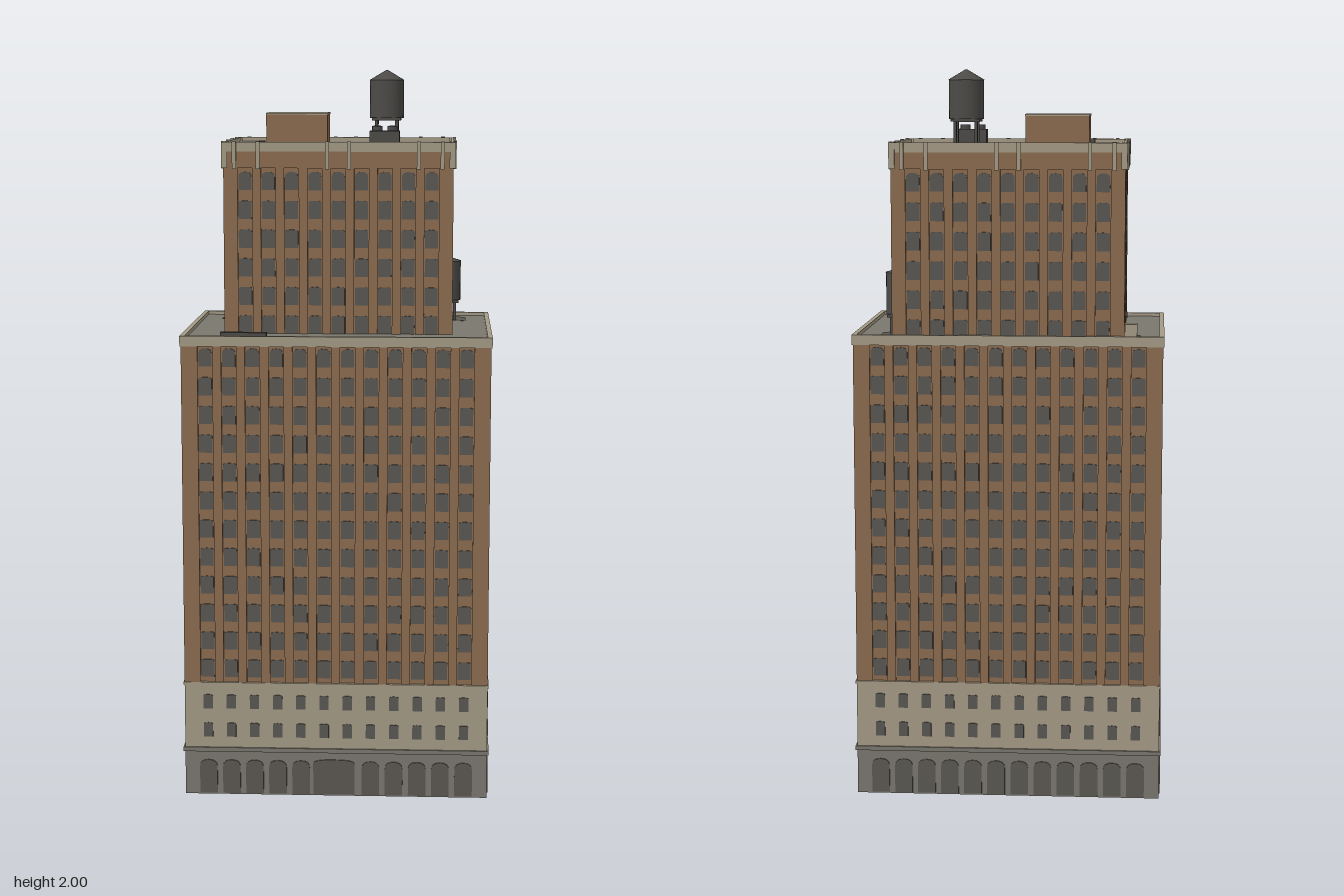
import * as THREE from 'three';
import { mergeGeometries } from 'three/addons/utils/BufferGeometryUtils.js';

const mat = (name, color, side = THREE.FrontSide) => {
  const m = new THREE.MeshStandardMaterial({ color, side });
  m.name = name;
  return m;
};

export function createModel() {
  const model = new THREE.Group();
  model.name = 'officeTower';
  const brick = mat('brick', 0x8c6c50, THREE.DoubleSide);
  const cream = mat('creamStone', 0xa59b86, THREE.DoubleSide);
  const stone = mat('greyStone', 0x7a776d, THREE.DoubleSide);
  const roofing = mat('roofing', 0x7a776f, THREE.DoubleSide);
  const glass = mat('windowGlass', 0x5a5752);
  const metal = mat('darkMetal', 0x4c4b48);
  const stain = mat('roofStain', 0x5b5852);

  const add = (name, geo, material, parent = model) => {
    const mesh = new THREE.Mesh(geo, material);
    mesh.name = name;
    parent.add(mesh);
    return mesh;
  };
  const box = (w, h, d, x, y, z) =>
    new THREE.BoxGeometry(w, h, d).translate(x, y, z).toNonIndexed();
  const cyl = (rt, rb, h, x, y, z, n = 20) =>
    new THREE.CylinderGeometry(rt, rb, h, n).translate(x, y, z).toNonIndexed();

  // Thin arch-headed plate standing on y0
  const arch = (u, y0, w, h, rise, depth) => {
    const s = new THREE.Shape();
    s.moveTo(-w / 2, 0);
    s.lineTo(w / 2, 0);
    s.lineTo(w / 2, h - rise);
    s.quadraticCurveTo(w / 2, h, 0, h);
    s.quadraticCurveTo(-w / 2, h, -w / 2, h - rise);
    return new THREE.ExtrudeGeometry(s, { depth, bevelEnabled: false, curveSegments: 4 })
      .translate(u, y0, -depth / 2);
  };

  // The four facades of a block; build(half width, columns, index) returns
  // geometries in facade space: x along the wall, z outward from it.
  const facades = (b, inset, build) => {
    const out = [];
    for (let i = 0; i < 4; i++) {
      const side = i % 2 === 1;
      const half = side ? b.d : b.w;
      const dist = (side ? b.w : b.d) - inset;
      for (const g of build(half, side ? b.colsSide : b.colsFront, i)) {
        out.push(g.translate(0, 0, dist).rotateY(i * Math.PI / 2).translate(0, 0, b.z));
      }
    }
    return mergeGeometries(out);
  };
  const columns = (half, n, pitch) =>
    Array.from({ length: n }, (_, i) => (i - (n - 1) / 2) * pitch);

  // Open-ended wall band between two heights
  const wall = (name, b, y0, y1, inset, material) =>
    add(name, facades(b, inset, half => [
      new THREE.PlaneGeometry(2 * (half - inset), y1 - y0)
        .translate(0, (y0 + y1) / 2, 0).toNonIndexed(),
    ]), material);

  // Four-sided rim, reaching t inward and `over` outward of the block
  const rim = (name, b, y0, y1, t, over, material) =>
    add(name, facades(b, 0, half => [
      box(2 * (half + over), y1 - y0, t + over, 0, (y0 + y1) / 2, (over - t) / 2),
    ]), material);

  // Full-height brick ribs between window columns, wider at the corners
  const piers = (name, b, y0, y1, inset, width) =>
    add(name, facades(b, inset, (half, n) => {
      const cs = columns(half, n, b.pitch);
      const list = cs.slice(1).map(u =>
        box(width, y1 - y0, inset, u - b.pitch / 2, (y0 + y1) / 2, inset / 2));
      const start = cs[n - 1] + b.pitch / 2 - width / 2;
      for (const s of [-1, 1]) {
        list.push(box(half - start, y1 - y0, inset, s * (half + start) / 2, (y0 + y1) / 2, inset / 2));
      }
      return list;
    }), brick);

  const windows = (name, b, rows, w, h, inset, archTop) =>
    add(name, facades(b, inset, (half, n) =>
      columns(half, n, b.pitch).flatMap(u => rows.map((y, r) =>
        archTop && r === 0
          ? arch(u, y - h / 2, w, h, 0.014, 0.006)
          : arch(u, y - h / 2, w, h, 0.004, 0.006)))), glass);

  const main = { w: 0.42, d: 0.314, z: 0, colsFront: 12, colsSide: 9, pitch: 0.0645 };
  const upper = { w: 0.315, d: 0.232, z: -0.065, colsFront: 9, colsSide: 6, pitch: 0.064 };
  const rows = (top, n) => Array.from({ length: n }, (_, i) => top - i * 0.079);

  // Ground floor with arched openings and a wide entrance
  wall('groundFloorWalls', main, 0, 0.13, 0, stone);
  add('groundFloorArches', facades(main, 0, (half, n, i) => {
    const list = columns(half, n, main.pitch)
      .filter(u => i !== 0 || Math.abs(u) > 0.05)
      .map(u => arch(u, 0.004, 0.049, 0.096, 0.02, 0.007));
    if (i === 0) list.push(arch(-0.005, 0.004, 0.115, 0.1, 0.01, 0.007));
    return list;
  }), stain);
  rim('lowerBelt', main, 0.124, 0.136, 0.003, 0.005, stone);

  // Cream stone storeys
  wall('stoneStoreyWalls', main, 0.13, 0.32, 0, cream);
  windows('stoneStoreyWindows', main, [0.268, 0.187], 0.026, 0.04, 0, false);
  rim('upperBelt', main, 0.315, 0.323, 0.008, 0.003, cream);

  // Brick shaft
  wall('shaftWalls', main, 0.32, 1.265, 0.007, brick);
  piers('shaftPiers', main, 0.32, 1.265, 0.007, 0.024);
  windows('shaftWindows', main, rows(1.231, 12), 0.036, 0.05, 0.007, true);
  rim('shaftParapet', main, 1.262, 1.29, 0.01, 0.003, cream);
  add('shaftRoof', box(0.826, 0.008, 0.614, 0, 1.276, 0), roofing);

  // Set-back upper block
  wall('upperWalls', upper, 1.28, 1.78, 0.006, brick);
  piers('upperPiers', upper, 1.28, 1.74, 0.006, 0.024);
  rim('upperFrieze', upper, 1.735, 1.782, 0.006, 0.001, brick);
  windows('upperWindows', upper, rows(1.7, 6), 0.036, 0.05, 0.006, true);
  rim('upperParapet', upper, 1.78, 1.806, 0.006, 0.002, cream);
  add('upperRoof', box(0.62, 0.008, 0.455, 0, 1.79, upper.z), roofing);
  add('crownTabs', facades(upper, 0, (half, n, i) => {
    const us = i % 2 ? [-0.195, -0.065, 0.065, 0.195] : [-0.285, -0.22, -0.03, 0.03, 0.22, 0.285];
    return us.map(u => box(0.011, 0.075, 0.009, u, 1.77, 0.0035));
  }), cream);
  add('crownCorners', mergeGeometries([-1, 1].flatMap(x => [-1, 1].map(z =>
    box(0.016, 0.07, 0.016, x * 0.312, 1.771, upper.z + z * 0.229)))), cream);

  // Weathered patches, with clipped corners, around the roof equipment
  const patch = (x0, x1, z0, z1, y) => {
    const c = 0.018, w = x1 - x0, d = z1 - z0;
    const s = new THREE.Shape([
      [c, 0], [w - c, 0], [w, c], [w, d - c], [w - c, d], [c, d], [0, d - c], [0, c],
    ].map(p => new THREE.Vector2(...p)));
    return new THREE.ExtrudeGeometry(s, { depth: 0.002, bevelEnabled: false })
      .rotateX(-Math.PI / 2).translate(x0, y, z1);
  };
  add('roofPatches', mergeGeometries([
    patch(-0.234, -0.022, -0.215, -0.038, 1.793),
    patch(0.055, 0.197, -0.198, -0.058, 1.793),
    patch(0.062, 0.188, 0.032, 0.144, 1.793),
    patch(0.28, 0.355, -0.268, -0.157, 1.279),
    patch(-0.358, -0.3, -0.24, -0.18, 1.279),
  ]), stain);

  // Penthouse
  add('penthouseWalls', box(0.174, 0.085, 0.134, -0.128, 1.834, -0.128), brick);
  add('penthouseRoof', box(0.176, 0.005, 0.136, -0.128, 1.878, -0.128), cream);

  // Water tanks on four legs
  const tank = (name, x, z, base, bottom, top, r, peak) => {
    const g = new THREE.Group();
    g.name = name;
    model.add(g);
    add('tankBody', cyl(r, r, top - bottom, x, (top + bottom) / 2, z), metal, g);
    add('tankRoof', cyl(0.003, r + 0.002, peak - top, x, (peak + top) / 2, z), metal, g);
    const legs = [];
    for (const sx of [-1, 1]) for (const sz of [-1, 1]) {
      legs.push(box(0.009, bottom - base, 0.009, x + sx * r * 0.6, (bottom + base) / 2, z + sz * r * 0.6));
    }
    legs.push(box(r * 1.7, 0.008, r * 1.7, x, bottom - 0.003, z));
    add('tankLegs', mergeGeometries(legs), metal, g);
  };
  tank('roofTank', 0.125, -0.127, 1.79, 1.866, 1.972, 0.048, 2.0);
  tank('setbackTank', 0.297, -0.213, 1.278, 1.338, 1.452, 0.043, 1.464);

  // Cooling unit with two fans
  add('coolingUnit', box(0.082, 0.042, 0.06, 0.125, 1.814, 0.082), metal);
  add('coolingFans', mergeGeometries([0.104, 0.146].map(x =>
    cyl(0.014, 0.014, 0.014, x, 1.841, 0.082, 16))), metal);

  // Small hatches and vents
  add('roofHatch', box(0.019, 0.016, 0.019, -0.212, 1.8, 0.124), metal);
  add('longVent', box(0.126, 0.018, 0.022, -0.253, 1.287, 0.272), metal);
  add('ventBox', box(0.034, 0.036, 0.042, -0.332, 1.296, -0.213), cream);

  return model;
}
